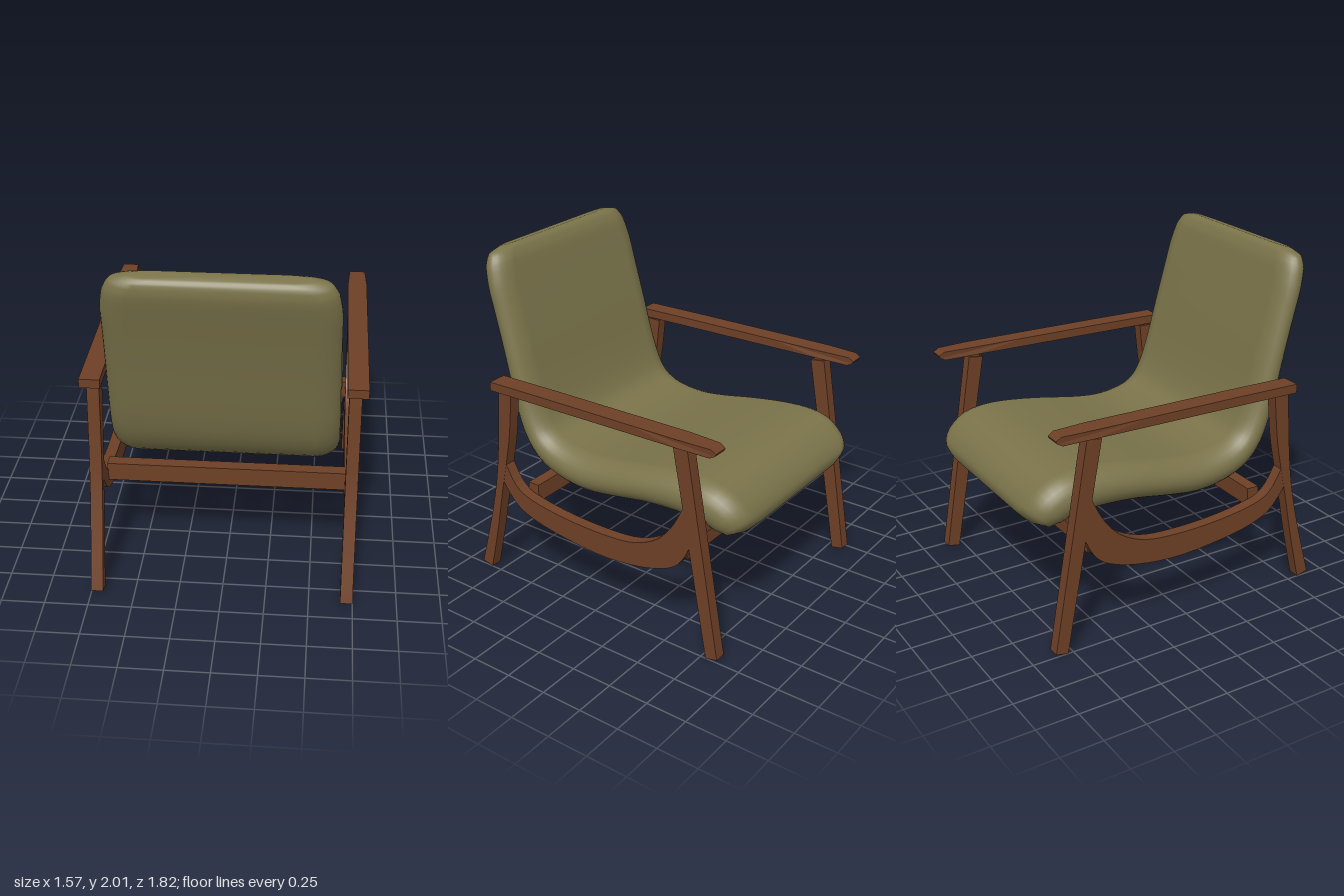
import * as THREE from 'three';

const wood = new THREE.MeshStandardMaterial({ color: 0x6e4026 });
wood.name = 'walnut wood';
const fabric = new THREE.MeshStandardMaterial({ color: 0x7a734a });
fabric.name = 'olive fabric';

const v2 = (list) => list.map(([z, y]) => new THREE.Vector2(z, y));

// Extrudes a side profile, given as (z, y), across x from x0 to x1
function sideSlab(shape, x0, x1) {
  const geo = new THREE.ExtrudeGeometry(shape, { depth: x1 - x0, bevelEnabled: false, curveSegments: 12 });
  geo.rotateY(-Math.PI / 2);
  geo.translate(x1, 0, 0);
  return geo;
}

// Closed shape with two smooth long edges and straight ends
function curvedBar(edgeA, edgeB, samples = 18) {
  const a = new THREE.SplineCurve(v2(edgeA)).getPoints(samples);
  const b = new THREE.SplineCurve(v2(edgeB)).getPoints(samples).reverse();
  return new THREE.Shape([...a, ...b]);
}

function addMesh(parent, name, geo, mat) {
  const mesh = new THREE.Mesh(geo, mat);
  mesh.name = name;
  parent.add(mesh);
  return mesh;
}

function addBox(parent, name, size, pos) {
  addMesh(parent, name, new THREE.BoxGeometry(...size), wood).position.set(...pos);
}

// One-piece cushion: rounded sections swept from the top of the back to the seat front
function cushionGeometry() {
  // z, y, half width, half thickness
  const stations = [
    [0.85, 2.0, 0.47, 0.035], [0.844, 1.975, 0.565, 0.064], [0.828, 1.91, 0.605, 0.083],
    [0.792, 1.78, 0.626, 0.084], [0.743, 1.6, 0.628, 0.084], [0.69, 1.4, 0.632, 0.085],
    [0.64, 1.2, 0.636, 0.087], [0.585, 1.02, 0.64, 0.092], [0.53, 0.915, 0.642, 0.098],
    [0.455, 0.845, 0.645, 0.108], [0.335, 0.798, 0.648, 0.115], [0.166, 0.78, 0.652, 0.117],
    [-0.03, 0.803, 0.654, 0.114], [-0.24, 0.841, 0.656, 0.115], [-0.45, 0.864, 0.657, 0.123],
    [-0.6, 0.866, 0.657, 0.13], [-0.7, 0.848, 0.655, 0.132], [-0.785, 0.795, 0.64, 0.123],
    [-0.83, 0.742, 0.6, 0.1], [-0.85, 0.715, 0.5, 0.06],
  ];
  const path = new THREE.CatmullRomCurve3(stations.map(([z, y]) => new THREE.Vector3(0, y, z)));
  const dims = new THREE.CatmullRomCurve3(stations.map(([, , w, h]) => new THREE.Vector3(w, h, 0)));
  const rings = 57, n = 28, pos = [], index = [];
  const xAxis = new THREE.Vector3(1, 0, 0);
  for (let i = 0; i <= rings; i++) {
    const p = path.getPoint(i / rings), d = dims.getPoint(i / rings);
    const normal = path.getTangent(i / rings).cross(xAxis).normalize();
    const r = 0.15;
    for (let j = 0; j < n; j++) {
      const a = ((j + 0.5) / n) * Math.PI * 2, c = Math.cos(a);
      const off = Math.sin(a) * d.y;
      pos.push(Math.sign(c) * (d.x - r) + r * c, p.y + normal.y * off, p.z + normal.z * off);
    }
  }
  for (let i = 0; i < rings; i++) {
    for (let j = 0; j < n; j++) {
      const a = i * n + j, b = i * n + ((j + 1) % n);
      index.push(a, b, a + n, b, b + n, a + n);
    }
  }
  // End caps
  const first = pos.length / 3, last = rings * n;
  for (const t of [0, 1]) pos.push(...path.getPoint(t).toArray());
  for (let j = 0; j < n; j++) {
    const k = (j + 1) % n;
    index.push(first, k, j, first + 1, last + j, last + k);
  }
  const geo = new THREE.BufferGeometry();
  geo.setAttribute('position', new THREE.Float32BufferAttribute(pos, 3));
  geo.setIndex(index);
  geo.computeVertexNormals();
  return geo;
}

// Armrest: flat bar with narrowed, pointed front tip
function armrestGeometry() {
  const shape = new THREE.Shape(v2([
    [0.7, 1.247], [0.7, 1.3], [0.3, 1.308], [-0.3, 1.316], [-0.62, 1.32], [-0.81, 1.32],
    [-0.842, 1.3], [-0.835, 1.285], [-0.805, 1.268], [-0.62, 1.27],
  ]));
  const geo = sideSlab(shape, -0.058, 0.058);
  const p = geo.attributes.position;
  for (let i = 0; i < p.count; i++) {
    const t = Math.max(0, -0.62 - p.getZ(i)) / 0.22;
    p.setX(i, p.getX(i) * (1 - 0.25 * t * t));
  }
  geo.translate(0.727, 0, 0);
  geo.computeVertexNormals();
  return geo;
}

export function createModel() {
  const chair = new THREE.Group();
  chair.name = 'loungeChair';

  addMesh(chair, 'cushion', cushionGeometry(), fabric);

  // Side frame profiles
  const rearLeg = curvedBar(
    [[0.894, 0.018], [0.777, 0.44], [0.713, 0.77], [0.67, 1.236]],
    [[0.82, 0], [0.75, 0.29], [0.69, 0.58], [0.645, 0.78], [0.607, 0.97], [0.576, 1.236]]);
  const frontLeg = new THREE.Shape(v2([[-0.56, 1.245], [-0.65, 1.257], [-0.857, 0.016], [-0.782, 0]]));
  const stretcher = curvedBar(
    [[0.7, 0.68], [0.59, 0.535], [0.46, 0.467], [0.247, 0.424], [-0.055, 0.4], [-0.31, 0.424],
      [-0.495, 0.477], [-0.6, 0.55], [-0.67, 0.68], [-0.7, 0.8]],
    [[0.65, 0.77], [0.565, 0.64], [0.43, 0.584], [0.19, 0.552], [-0.07, 0.546], [-0.28, 0.568],
      [-0.44, 0.642], [-0.548, 0.76], [-0.622, 0.9]], 30);
  const arm = armrestGeometry();

  for (const [side, s] of [['left', 1], ['right', -1]]) {
    const frame = new THREE.Group();
    frame.name = side + 'SideFrame';
    const x0 = s > 0 ? 0.68 : -0.75, x1 = x0 + 0.07;
    addMesh(frame, 'rearLeg', sideSlab(rearLeg, x0, x1), wood);
    addMesh(frame, 'frontLeg', sideSlab(frontLeg, x0, x1), wood);
    addMesh(frame, 'curvedStretcher', sideSlab(stretcher, x0 + 0.001, x1 - 0.001), wood);
    const armrest = addMesh(frame, 'armrest', arm, wood);
    if (s < 0) armrest.position.x = -2 * 0.727;
    // Tenons joining legs to armrest, and the seat support block
    addBox(frame, 'rearTenon', [0.05, 0.05, 0.07], [s * 0.715, 1.245, 0.623]);
    addBox(frame, 'frontTenon', [0.05, 0.05, 0.06], [s * 0.715, 1.26, -0.605]);
    addBox(frame, 'seatSupport', [0.07, 0.07, 0.08], [s * 0.622, 0.76, -0.66]);
    chair.add(frame);
  }

  // Cross rails beneath the seat
  addBox(chair, 'rearRail', [1.37, 0.11, 0.075], [0, 0.605, 0.498]);
  addBox(chair, 'frontRail', [1.37, 0.11, 0.075], [0, 0.605, -0.578]);

  return chair;
}
